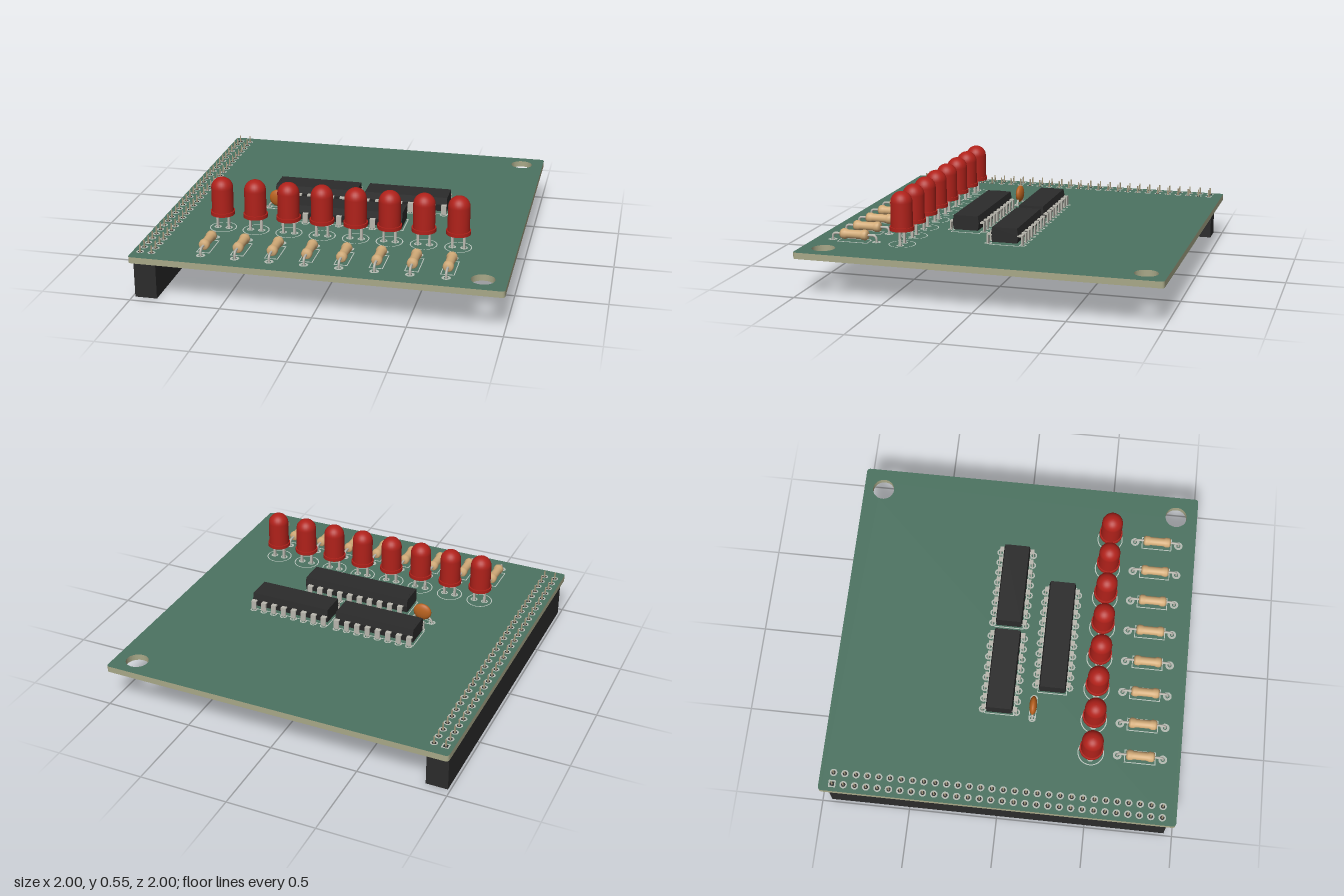
import * as THREE from 'three';

const mat = (color, side = THREE.FrontSide) => new THREE.MeshStandardMaterial({ color, side });
const M = {
  green: mat(0x4c7361), edge: mat(0xa8a888), black: mat(0x2b2b2b), metal: mat(0xb9b7ae),
  pin: mat(0xa89c80), red: mat(0xb0211a), tan: mat(0xd2ab78), orange: mat(0xb8621f),
  pad: mat(0xb4bab2, THREE.DoubleSide), silk: mat(0xb9c4bc, THREE.DoubleSide),
};
const TOP = 0.25, PITCH = 0.0636, TIP = 0.178;

function add(parent, name, geo, material, x = 0, y = 0, z = 0) {
  const m = new THREE.Mesh(geo, material);
  m.name = name;
  m.position.set(x, y, z);
  parent.add(m);
  return m;
}
function group(parent, name, x = 0, z = 0) {
  const g = new THREE.Group();
  g.name = name;
  g.position.set(x, 0, z);
  parent.add(g);
  return g;
}
const box = (w, h, d) => new THREE.BoxGeometry(w, h, d);

// Flat ring lying on the board
function ring(parent, name, inner, outer, x, z, material, segs = 20) {
  const geo = new THREE.RingGeometry(inner, outer, segs, 1, segs === 4 ? Math.PI / 4 : 0);
  add(parent, name, geo, material, x, TOP + 0.002, z).rotation.x = -Math.PI / 2;
}
const pad = (parent, x, z) => ring(parent, 'solderPad', 0.012, 0.021, x, z, M.pad);

// Thin printed rectangle around a component
function outline(parent, w, d) {
  const t = 0.005, y = TOP + 0.001;
  for (const s of [-1, 1]) {
    add(parent, 'outline', box(w + t, 0.002, t), M.silk, 0, y, s * d / 2);
    add(parent, 'outline', box(t, 0.002, d), M.silk, s * w / 2, y, 0);
  }
}

// Rounded board with two mounting holes
function board(root) {
  const s = new THREE.Shape(), r = 0.022;
  s.moveTo(-1 + r, -1);
  s.lineTo(1 - r, -1); s.quadraticCurveTo(1, -1, 1, -1 + r);
  s.lineTo(1, 1 - r); s.quadraticCurveTo(1, 1, 1 - r, 1);
  s.lineTo(-1 + r, 1); s.quadraticCurveTo(-1, 1, -1, 1 - r);
  s.lineTo(-1, -1 + r); s.quadraticCurveTo(-1, -1, -1 + r, -1);
  for (const y of [0.885, -0.875]) {
    const h = new THREE.Path();
    h.absarc(0.872, y, 0.063, 0, Math.PI * 2, true);
    s.holes.push(h);
  }
  const geo = new THREE.ExtrudeGeometry(s, { depth: 0.035, bevelEnabled: false, curveSegments: 24 });
  geo.rotateX(-Math.PI / 2);
  add(root, 'board', geo, [M.green, M.edge], 0, TOP - 0.035, 0);
}

// Two-row socket under the board, pins poking through
function connector(root) {
  const g = group(root, 'connector');
  add(g, 'socketBody', box(0.122, 0.215, 1.9), M.black, -0.925, 0.1075, 0.003);
  const pinGeo = new THREE.CylinderGeometry(0.004, 0.0075, 0.09, 8);
  for (let i = 0; i < 30; i++) {
    for (const x of [-0.957, -0.893]) {
      const z = -0.924 + i * PITCH;
      add(g, 'socketPin', pinGeo, M.pin, x, 0.247, z);
      add(g, 'pinHole', new THREE.CylinderGeometry(0.013, 0.013, 0.002, 12), M.black, x, TOP, z);
      if (i === 0 && x < -0.95) ring(g, 'firstPad', 0.018, 0.029, x, z, M.pad, 4);
      else pad(g, x, z);
    }
  }
}

// Dual in-line chip with n legs on each side
function chip(root, name, x, z, n, length) {
  const g = group(root, name, x, z);
  const s = new THREE.Shape([[-0.07, 0.264], [0.07, 0.264], [0.077, 0.305], [0.07, 0.346], [-0.07, 0.346], [-0.077, 0.305]]
    .map(p => new THREE.Vector2(...p)));
  const geo = new THREE.ExtrudeGeometry(s, { depth: length, bevelEnabled: false });
  geo.translate(0, 0, -length / 2).rotateY(Math.PI / 2);
  add(g, 'chipBody', geo, M.black);
  // Orientation notch
  add(g, 'notch', new THREE.CylinderGeometry(0.016, 0.016, 0.002, 16, 1, false, 0, Math.PI), M.black, -length / 2, 0.346, 0);
  for (let i = 0; i < n; i++) {
    const px = (i - (n - 1) / 2) * PITCH;
    for (const d of [-1, 1]) {
      add(g, 'legShoulder', box(0.03, 0.008, 0.03), M.metal, px, 0.304, d * 0.086);
      add(g, 'legBlade', box(0.03, 0.052, 0.008), M.metal, px, 0.282, d * 0.097);
      add(g, 'legTip', box(0.011, 0.258 - TIP, 0.008), M.metal, px, (0.258 + TIP) / 2, d * 0.097);
      pad(g, px, d * 0.097);
    }
  }
  outline(g, length + 0.012, 0.165);
}

const ledProfile = [[0, 0.333], [0.067, 0.333], [0.067, 0.352], [0.06, 0.352], [0.06, 0.485]];

// Domed lamp with collar and two legs
function led(root, x) {
  const g = group(root, 'led', x, 0.495);
  add(g, 'collar', new THREE.CylinderGeometry(0.067, 0.067, 0.02, 28), M.red, 0, 0.343, 0);
  const pts = [new THREE.Vector2(0.06, 0.353)];
  for (let i = 0; i <= 10; i++) {
    const a = i / 10 * Math.PI / 2;
    pts.push(new THREE.Vector2(0.06 * Math.cos(a), 0.486 + 0.06 * Math.sin(a)));
  }
  add(g, 'lens', new THREE.LatheGeometry(pts, 28), M.red);
  for (const d of [-1, 1]) {
    add(g, 'ledLeg', box(0.013, 0.34 - TIP, 0.013), M.metal, d * 0.032, (0.34 + TIP) / 2, 0);
    pad(g, d * 0.032, 0);
  }
  ring(g, 'outline', 0.069, 0.075, 0, 0, M.silk, 32);
}

// Axial resistor: waisted body and a bent wire through both pads
function resistor(root, x) {
  const g = group(root, 'resistor', x, 0.772);
  const profile = [[0, -0.08], [0.022, -0.079], [0.029, -0.068], [0.029, -0.05], [0.024, -0.038],
    [0.024, 0.038], [0.029, 0.05], [0.029, 0.068], [0.022, 0.079], [0, 0.08]].map(p => new THREE.Vector2(...p));
  add(g, 'resistorBody', new THREE.LatheGeometry(profile, 20), M.tan, 0, 0.287, 0).rotation.x = Math.PI / 2;
  const path = new THREE.CurvePath(), v = (y, z) => new THREE.Vector3(0, y, z);
  path.add(new THREE.LineCurve3(v(TIP, -0.128), v(0.265, -0.128)));
  path.add(new THREE.QuadraticBezierCurve3(v(0.265, -0.128), v(0.287, -0.128), v(0.287, -0.106)));
  path.add(new THREE.LineCurve3(v(0.287, -0.106), v(0.287, 0.106)));
  path.add(new THREE.QuadraticBezierCurve3(v(0.287, 0.106), v(0.287, 0.128), v(0.265, 0.128)));
  path.add(new THREE.LineCurve3(v(0.265, 0.128), v(TIP, 0.128)));
  add(g, 'wire', new THREE.TubeGeometry(path, 60, 0.007, 8), M.metal);
  for (const d of [-1, 1]) ring(g, 'solderPad', 0.012, 0.025, 0, d * 0.128, M.pad);
  outline(g, 0.07, 0.172);
}

// Small lens-shaped capacitor on two wires
function capacitor(root) {
  const g = group(root, 'capacitor', -0.404, 0.147);
  add(g, 'capacitorBody', new THREE.SphereGeometry(1, 24, 16), M.orange, 0, 0.312, 0).scale.set(0.054, 0.05, 0.022);
  for (const d of [-1, 1]) {
    const p = [[0.025, 0.29], [0.05, 0.272], [0.06, 0.25], [0.06, TIP]].map(([a, b]) => new THREE.Vector3(d * a, b, 0));
    add(g, 'capacitorLeg', new THREE.TubeGeometry(new THREE.CatmullRomCurve3(p), 16, 0.006, 8), M.metal);
    pad(g, d * 0.06, 0);
  }
  outline(g, 0.13, 0.036);
}

export function createModel() {
  const root = new THREE.Group();
  root.name = 'circuitBoard';
  board(root);
  connector(root);
  chip(root, 'chipLeft', -0.214, -0.042, 8, 0.475);
  chip(root, 'chipRight', 0.312, -0.042, 8, 0.475);
  chip(root, 'chipFront', 0.024, 0.245, 10, 0.645);
  capacitor(root);
  for (let i = 0; i < 8; i++) {
    const x = -0.627 + i * 0.1875;
    led(root, x);
    resistor(root, x);
  }
  return root;
}
